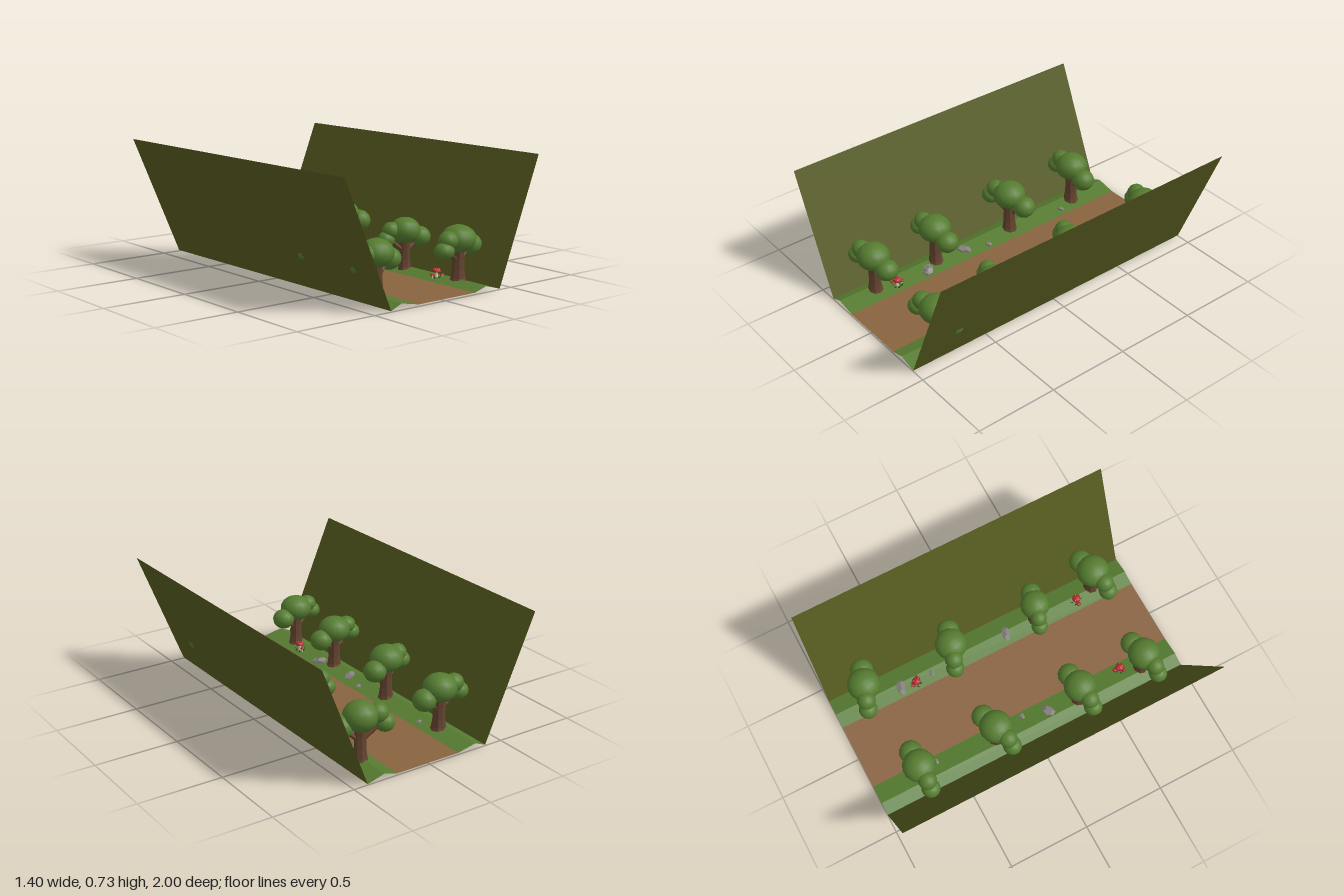
import * as THREE from 'three';

const mat = (name, color, extra = {}) => {
  const m = new THREE.MeshStandardMaterial({ color, ...extra });
  m.name = name;
  return m;
};

export function createModel() {
  const root = new THREE.Group();
  root.name = 'forestPath';
  const M = {
    wall: mat('olive wall', 0x565b20, { side: THREE.DoubleSide }),
    grass: mat('grass', 0x557a30, { side: THREE.DoubleSide }),
    dirt: mat('dirt path', 0x88633f, { side: THREE.DoubleSide }),
    leaf: mat('foliage', 0x557c30),
    bark: mat('bark', 0x64432f, { flatShading: true }),
    rock: mat('rock', 0x85807c, { flatShading: true }),
    red: mat('mushroom red', 0xb02a2c),
    pale: mat('mushroom pale', 0xd8cdb8),
    sprout: mat('dark sprout', 0x35501f, { side: THREE.DoubleSide }),
  };

  const add = (parent, name, geo, material, pos = [0, 0, 0], scale = [1, 1, 1], rot = [0, 0, 0]) => {
    const mesh = new THREE.Mesh(geo, material);
    mesh.name = name;
    mesh.position.set(...pos);
    mesh.scale.set(...scale);
    mesh.rotation.set(...rot);
    parent.add(mesh);
    return mesh;
  };

  // Sheet running the full length in z along a cross-section of [x, y], left to right
  const strip = (name, profile, material) => {
    const p = [];
    for (let i = 0; i < profile.length - 1; i++) {
      const [ax, ay] = profile[i], [bx, by] = profile[i + 1];
      p.push(ax, ay, 1, bx, by, 1, bx, by, -1, ax, ay, 1, bx, by, -1, ax, ay, -1);
    }
    const g = new THREE.BufferGeometry();
    g.setAttribute('position', new THREE.Float32BufferAttribute(p, 3));
    g.computeVertexNormals();
    add(root, name, g, material);
  };
  strip('rightWall', [[-0.7, 0.725], [-0.387, 0]], M.wall);
  strip('rightBank', [[-0.387, 0], [-0.315, 0.03], [-0.195, 0.006]], M.grass);
  strip('path', [[-0.195, 0.006], [0.22, 0.006]], M.dirt);
  strip('leftBank', [[0.22, 0.006], [0.305, 0.03], [0.412, 0]], M.grass);
  strip('leftWall', [[0.412, 0], [0.7, 0.725]], M.wall);

  // Tree parts shared by all trees
  const ball = new THREE.SphereGeometry(1, 14, 10);
  const trunkGeo = new THREE.LatheGeometry(
    [[0, 0], [0.05, 0], [0.042, 0.025], [0.036, 0.07], [0.034, 0.14], [0.038, 0.2], [0, 0.21]]
      .map(([x, y]) => new THREE.Vector2(x, y)), 8);
  const branch = (a, b) => new THREE.TubeGeometry(
    new THREE.LineCurve3(new THREE.Vector3(...a), new THREE.Vector3(...b)), 1, 0.014, 6);
  const branches = [
    branch([0.01, 0.12, 0], [0.09, 0.185, 0]),
    branch([-0.01, 0.12, 0], [-0.11, 0.195, 0]),
  ];
  // Foliage blobs: centre and radii
  const blobs = [
    [[0, 0.25, 0], [0.1, 0.08, 0.1]],
    [[0.11, 0.203, 0], [0.068, 0.062, 0.07]],
    [[-0.1, 0.255, 0], [0.06, 0.052, 0.056]],
    [[-0.138, 0.2, 0], [0.058, 0.05, 0.056]],
  ];
  // x, z, turn, width scale, height scale
  const trees = [
    [-0.28, -0.72, 0.02, 1, 1.04], [-0.28, -0.22, 0.28, 1, 1.03],
    [-0.29, 0.335, 0.12, 0.98, 1.0], [-0.29, 0.77, 0.18, 0.98, 0.99],
    [0.31, -0.785, -0.3, 1, 1.09], [0.3, -0.215, -0.3, 0.98, 1.02],
    [0.295, 0.35, -0.25, 0.9, 0.95], [0.32, 0.765, 0.22, 1.02, 0.99],
  ];
  trees.forEach(([x, z, turn, w, h]) => {
    const tree = new THREE.Group();
    tree.name = 'tree';
    tree.position.set(x, 0.01, z);
    tree.rotation.y = turn;
    tree.scale.set(w, h, w);
    add(tree, 'trunk', trunkGeo, M.bark);
    branches.forEach((g) => add(tree, 'branch', g, M.bark));
    blobs.forEach(([c, r]) => add(tree, 'foliage', ball, M.leaf, c, r));
    root.add(tree);
  });

  // Rocks: x, z, half length, half width, turn
  const rockGeo = new THREE.DodecahedronGeometry(1.05, 0);
  [
    [0.28, -0.575, 0.05, 0.03, -0.15], [0.275, -0.37, 0.022, 0.017, 0.2],
    [0.29, 0.15, 0.048, 0.028, -0.2], [-0.275, 0.14, 0.048, 0.03, 0.6],
    [-0.225, -0.015, 0.021, 0.015, 0.2], [-0.235, -0.6, 0.02, 0.014, 0.3],
    [-0.25, 0.42, 0.045, 0.03, -0.2], [-0.225, 0.45, 0.022, 0.017, 0.3],
  ].forEach(([x, z, a, b, t]) =>
    add(root, 'rock', rockGeo, M.rock, [x, 0.02, z], [a, b * 0.85, b], [0, t, 0]));

  // Mushroom clumps with spotted caps and sprouts around the foot
  const capGeo = new THREE.SphereGeometry(1, 12, 6, 0, Math.PI * 2, 0, Math.PI / 2);
  const underGeo = new THREE.CircleGeometry(1, 12).rotateX(Math.PI / 2);
  const stemGeo = new THREE.CylinderGeometry(0.25, 0.35, 1, 8);
  const spotGeo = new THREE.SphereGeometry(0.1, 6, 4);
  const leafGeo = new THREE.ConeGeometry(0.006, 0.03, 4);
  const mushroom = (parent, x, z, r, h) => {
    const g = new THREE.Group();
    g.name = 'mushroom';
    g.position.set(x, 0, z);
    add(g, 'stem', stemGeo, M.pale, [0, h / 2, 0], [r, h, r]);
    add(g, 'cap', capGeo, M.red, [0, h, 0], [r, r * 0.8, r]);
    add(g, 'capUnderside', underGeo, M.pale, [0, h, 0], [r, 1, r]);
    for (let i = 0; i < 5; i++) {
      const a = i * 1.257;
      add(g, 'spot', spotGeo, M.pale,
        [Math.cos(a) * r * 0.72, h + r * 0.555, Math.sin(a) * r * 0.72], [r, r, r]);
    }
    parent.add(g);
  };
  [[0.26, -0.48, 0], [-0.24, 0.65, 2], [0.277, 0.637, 3.6]].forEach(([x, z, turn]) => {
    const clump = new THREE.Group();
    clump.name = 'mushroomClump';
    clump.position.set(x, 0.018, z);
    clump.rotation.y = turn;
    mushroom(clump, 0, 0, 0.026, 0.036);
    mushroom(clump, 0.028, 0.014, 0.014, 0.02);
    mushroom(clump, -0.006, -0.03, 0.012, 0.015);
    for (let i = 0; i < 6; i++) {
      const a = i * 1.05;
      add(clump, 'sprout', leafGeo, M.sprout,
        [Math.cos(a) * 0.03, 0.008, Math.sin(a) * 0.03], [1, 1, 1], [Math.sin(a) * 0.7, 0, -Math.cos(a) * 0.7]);
    }
    root.add(clump);
  });
  return root;
}
